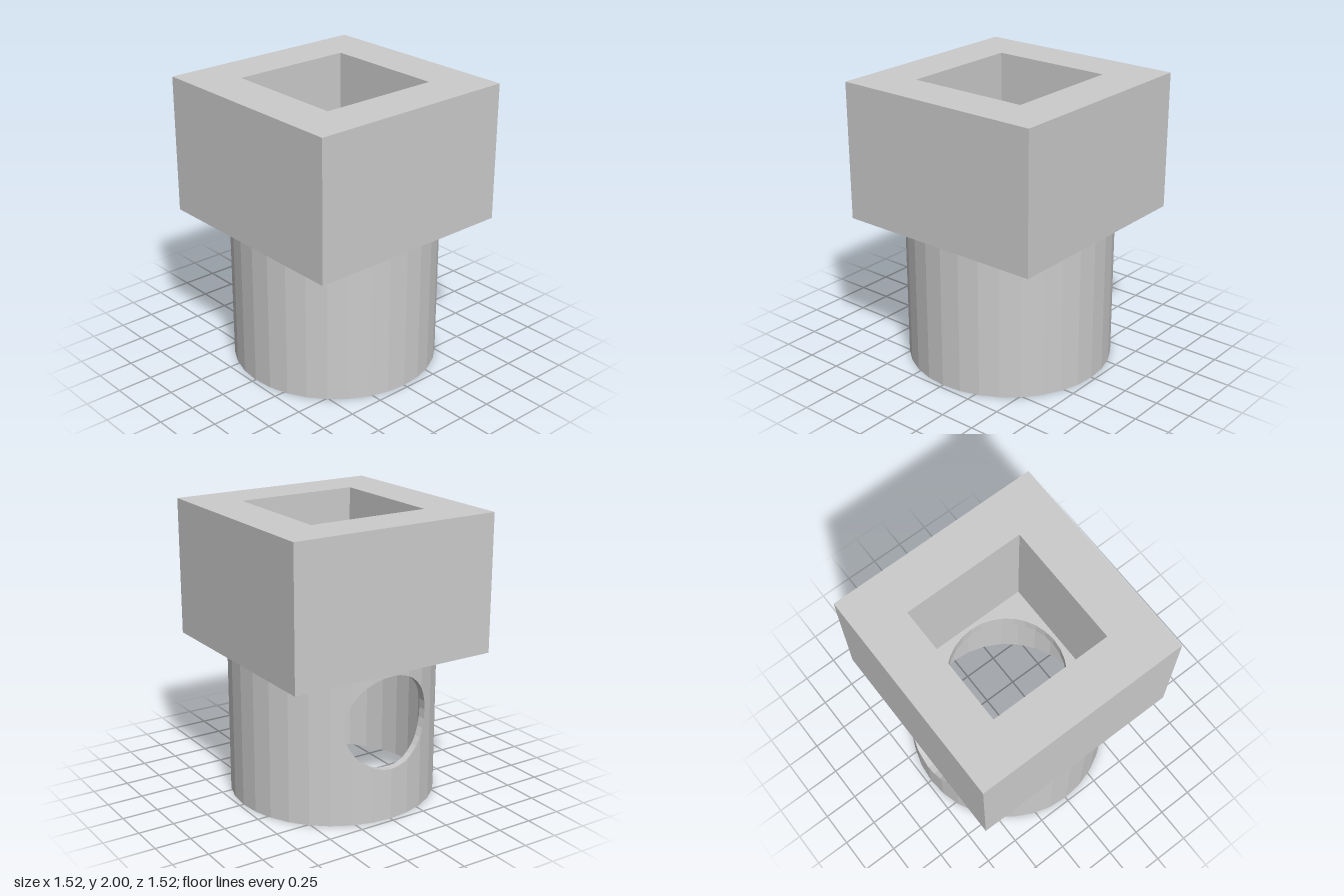
import * as THREE from 'three';

const SEGS = 32, STEP = (Math.PI * 2) / SEGS;
const R_OUT = 0.72, R_IN = 0.67;        // tube radii
const R_HOLE = 0.325, HOLE_Y = 0.685;   // side hole
const BASE = 1.04, TOP = 2;             // bottom and top of the block
const BLOCK = 0.76, SOCKET = 0.436, BORE = 0.408, FLOOR = 0.09;

const material = new THREE.MeshStandardMaterial({ color: 0xcccccc, flatShading: true });

const square = (h, Type) => new Type([[-h, -h], [h, -h], [h, h], [-h, h]].map(([x, y]) => new THREE.Vector2(x, y)));

// Upright plate with one opening, standing on y
function plate(name, half, opening, height, y) {
  const shape = square(half, THREE.Shape);
  shape.holes.push(opening);
  const geo = new THREE.ExtrudeGeometry(shape, { depth: height, bevelEnabled: false, curveSegments: SEGS / 2 });
  geo.rotateX(-Math.PI / 2).translate(0, y, 0);
  const mesh = new THREE.Mesh(geo, material);
  mesh.name = name;
  return mesh;
}

// Height of a faceted circle of radius r above its diameter, at offset z
function chord(r, z) {
  const k = Math.min(Math.floor(Math.asin(Math.min(1, Math.abs(z) / r)) / STEP + 1e-6), SEGS / 4 - 1);
  const z0 = r * Math.sin(k * STEP), z1 = r * Math.sin((k + 1) * STEP);
  const t = (Math.abs(z) - z0) / (z1 - z0);
  return THREE.MathUtils.lerp(r * Math.cos(k * STEP), r * Math.cos((k + 1) * STEP), t);
}

// Faceted tube wall pierced by a round hole on the -x side
function tubeGeometry() {
  const pos = [];
  const quad = (a, b, c, d) => pos.push(...a, ...b, ...c, ...a, ...c, ...d);
  const at = ([x, z], y) => [x, y, z];

  // Both skins between two columns, from y0 to y1
  const wall = (p, q, y0, y1) => {
    quad(at(p.o, y0[0]), at(q.o, y0[1]), at(q.o, y1[1]), at(p.o, y1[0]));
    quad(at(q.i, y0[1]), at(p.i, y0[0]), at(p.i, y1[0]), at(q.i, y1[1]));
  };
  const rim = (p, q) => quad(at(p.i, 0), at(q.i, 0), at(q.o, 0), at(p.o, 0));

  // Columns across the hole: every facet edge of the tube and of the hole
  const zs = [];
  for (const r of [R_HOLE, R_OUT, R_IN])
    for (let k = -SEGS / 4; k <= SEGS / 4; k++) {
      const z = r * Math.sin(k * STEP);
      if (Math.abs(z) <= R_HOLE + 1e-6 && !zs.some((v) => Math.abs(v - z) < 1e-5)) zs.push(z);
    }
  zs.sort((a, b) => a - b);
  const cut = zs.map((z) => ({ o: [-chord(R_OUT, z), z], i: [-chord(R_IN, z), z], h: chord(R_HOLE, z) }));

  for (let n = 0; n < cut.length - 1; n++) {
    const p = cut[n], q = cut[n + 1];
    const low = [HOLE_Y - p.h, HOLE_Y - q.h], high = [HOLE_Y + p.h, HOLE_Y + q.h];
    wall(p, q, [0, 0], low);
    wall(p, q, high, [BASE, BASE]);
    rim(p, q);
    // Lining of the hole
    quad(at(p.o, low[0]), at(q.o, low[1]), at(q.i, low[1]), at(p.i, low[0]));
    quad(at(p.i, high[0]), at(q.i, high[1]), at(q.o, high[1]), at(p.o, high[0]));
  }

  // Unbroken remainder of the wall
  const solid = [cut[cut.length - 1]];
  const first = Math.ceil(Math.asin(R_HOLE / R_IN) / STEP);
  for (let k = first; k <= SEGS - first; k++) {
    const c = -Math.cos(k * STEP), s = Math.sin(k * STEP);
    solid.push({ o: [R_OUT * c, R_OUT * s], i: [R_IN * c, R_IN * s] });
  }
  solid.push(cut[0]);
  for (let n = 0; n < solid.length - 1; n++) {
    wall(solid[n], solid[n + 1], [0, 0], [BASE, BASE]);
    rim(solid[n], solid[n + 1]);
  }

  const geo = new THREE.BufferGeometry();
  geo.setAttribute('position', new THREE.Float32BufferAttribute(pos, 3));
  geo.computeVertexNormals();
  return geo;
}

export function createModel() {
  const model = new THREE.Group();
  model.name = 'squareSocketAdapter';

  // Square block with a square socket
  model.add(plate('socketBlock', BLOCK, square(SOCKET, THREE.Path), TOP - BASE, BASE));

  // Socket floor with a round bore
  const bore = new THREE.Path().absarc(0, 0, BORE, 0, Math.PI * 2, false);
  model.add(plate('socketFloor', SOCKET, bore, FLOOR, BASE));

  // Round tube below
  const tube = new THREE.Mesh(tubeGeometry(), material);
  tube.name = 'tube';
  model.add(tube);
  return model;
}
